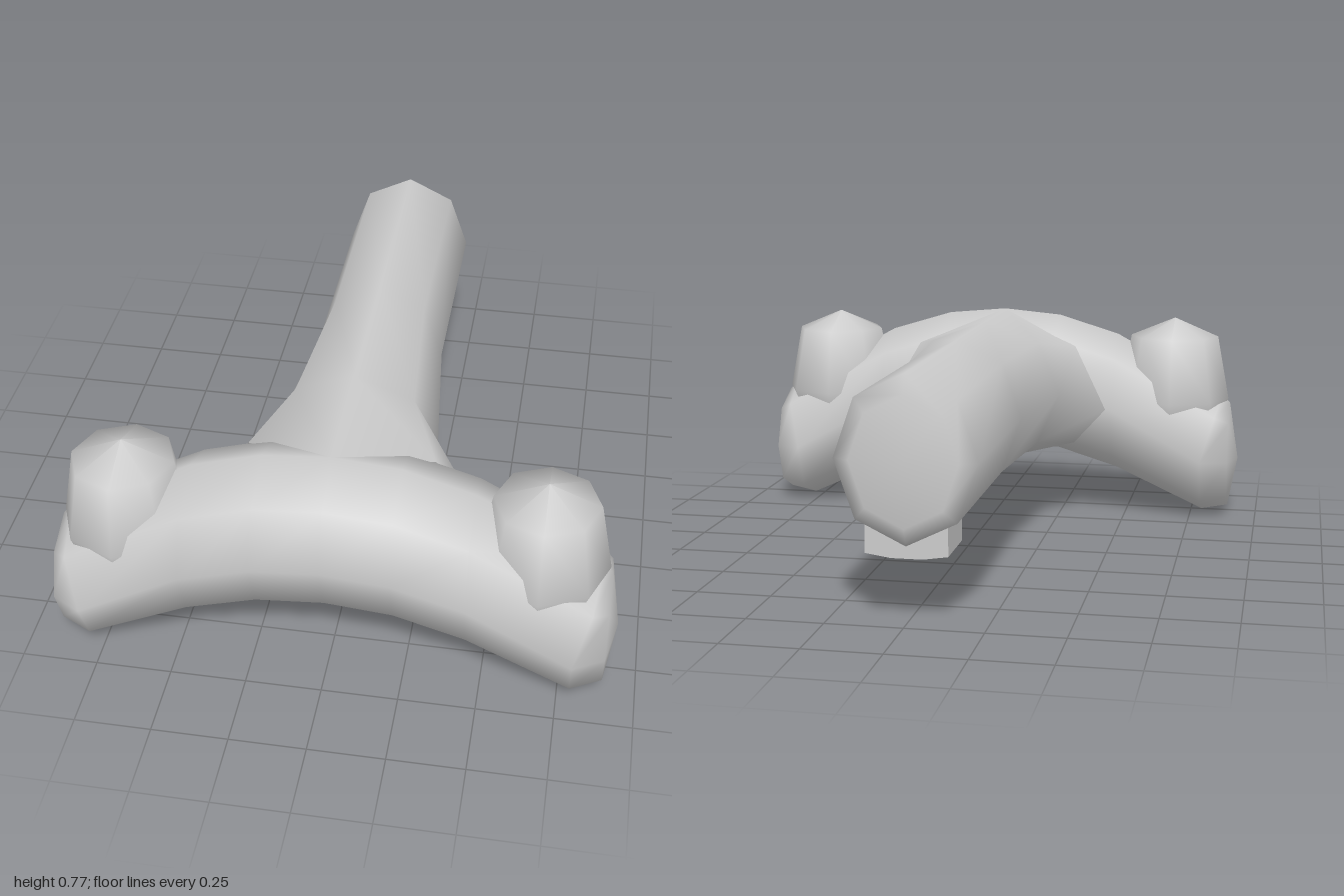
import * as THREE from 'three';
import { mergeVertices } from 'three/addons/utils/BufferGeometryUtils.js';

const SIDES = 8;
const material = new THREE.MeshStandardMaterial({ color: 0xcccccc, side: THREE.DoubleSide });

// Octagonal cross-section; point(cos, sin) returns [x, y, z]
function ring(point) {
  return Array.from({ length: SIDES }, (_, k) => {
    const a = (k / SIDES) * Math.PI * 2;
    return point(Math.cos(a), Math.sin(a));
  });
}

// Smooth skin through a list of cross-sections
function loft(rings) {
  const index = [];
  for (let i = 0; i < rings.length - 1; i++) {
    for (let k = 0; k < SIDES; k++) {
      const a = i * SIDES + k, b = i * SIDES + ((k + 1) % SIDES);
      index.push(a, b, a + SIDES, b, b + SIDES, a + SIDES);
    }
  }
  const g = new THREE.BufferGeometry();
  g.setAttribute('position', new THREE.Float32BufferAttribute(rings.flat(2), 3));
  g.setIndex(index);
  const welded = mergeVertices(g);
  welded.computeVertexNormals();
  return welded;
}

function part(name, geometry) {
  const mesh = new THREE.Mesh(geometry, material);
  mesh.name = name;
  return mesh;
}

export function createModel() {
  const model = new THREE.Group();
  model.name = 'tHandle';

  // Arched crossbar: [x, centre y, y radius, z radius, lean of the upper half]
  const half = [
    [0.22, 0.495, 0.265, 0.245, 0],
    [0.45, 0.425, 0.265, 0.245, 0],
    [0.79, 0.235, 0.23, 0.245, 0.07],
    [0.89, 0.228, 0.203, 0.185, 0],
    [0.925, 0.215, 0, 0, 0],
  ];
  const barRing = (s) => ([x, y, ry, rz, lean]) =>
    ring((c, n) => [s * (x + lean * Math.max(0, c)), y + ry * c, 0.755 + rz * n]);
  model.add(part('crossbar', loft([
    ...[...half].reverse().map(barRing(-1)),
    barRing(1)([0, 0.515, 0.265, 0.245, 0]),
    ...half.map(barRing(1)),
  ])));

  // Handle with bevelled rear end: [z, x radius, y radius]
  const sections = [
    [-1, 0, 0],
    [-0.99, 0.17, 0.205],
    [-0.96, 0.225, 0.265],
    [-0.2, 0.225, 0.265],
    [0.33, 0.28, 0.265],
  ].map(([z, rx, ry]) => ring((c, n) => [rx * c, 0.515 + ry * n, z]));
  // Last section flares into the back of the crossbar, following its arch
  sections.push(ring((c, n) => [
    0.43 * c,
    0.515 - 0.085 * c * c + 0.265 * n,
    0.51 + 0.245 * (1 - Math.abs(c)),
  ]));
  model.add(part('handle', loft(sections)));

  // Rounded knobs on the arms
  const profile = [[0, 0.22], [0.15, 0.27], [0.213, 0.45], [0.167, 0.69], [0, 0.76]]
    .map(([r, y]) => new THREE.Vector2(r, y));
  for (const s of [-1, 1]) {
    const knob = part(s > 0 ? 'leftKnob' : 'rightKnob', new THREE.LatheGeometry(profile, SIDES));
    knob.position.set(s * 0.67, 0, 0.75);
    model.add(knob);
  }

  // Small block with a shallow V underside below the rear of the handle
  const outline = new THREE.Shape([
    [-0.13, 0.222], [-0.05, 0.21], [0.05, 0.21], [0.13, 0.222], [0.13, 0.34], [-0.13, 0.34],
  ].map(([x, y]) => new THREE.Vector2(x, y)));
  const block = part('lowerBlock', new THREE.ExtrudeGeometry(outline, { depth: 0.21, bevelEnabled: false }));
  block.position.z = -0.955;
  model.add(block);

  return model;
}
